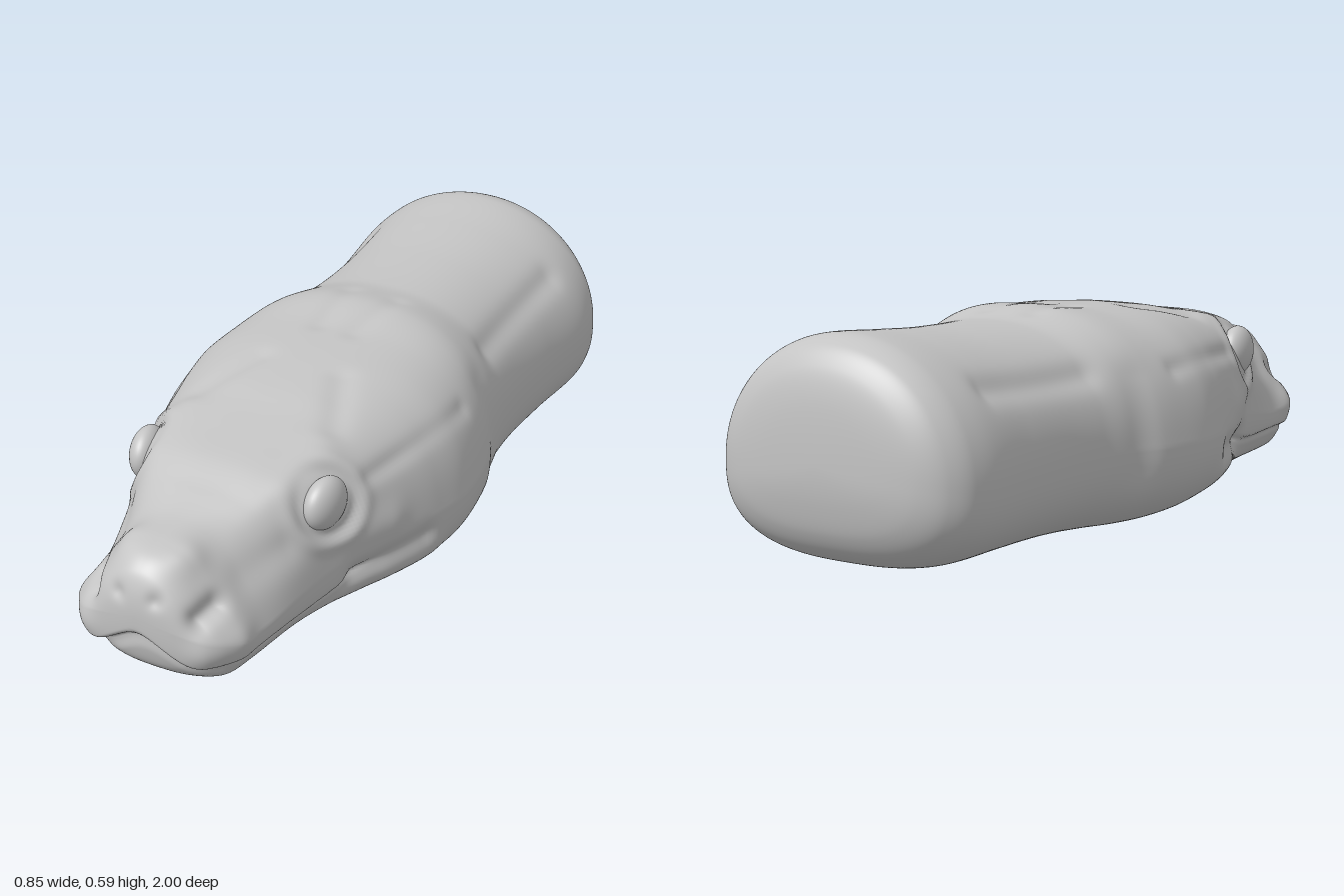
import * as THREE from 'three';
import { mergeVertices } from 'three/addons/utils/BufferGeometryUtils.js';

// Smooth monotone curve through [z, value] pairs, evaluated at t where z = cos(t)
function profile(pairs) {
  const t = pairs.map(p => Math.acos(p[0])), v = pairs.map(p => p[1]);
  const n = t.length, d = [], m = [];
  for (let i = 0; i < n - 1; i++) d.push((v[i + 1] - v[i]) / (t[i + 1] - t[i]));
  for (let i = 0; i < n; i++) {
    const a = d[Math.max(0, i - 1)], b = d[Math.min(n - 2, i)];
    m.push(a * b > 0 ? 2 * a * b / (a + b) : 0);
  }
  return x => {
    let i = 0;
    while (i < n - 2 && x > t[i + 1]) i++;
    const h = t[i + 1] - t[i], s = Math.min(1, Math.max(0, (x - t[i]) / h)), s2 = s * s, s3 = s2 * s;
    return (2 * s3 - 3 * s2 + 1) * v[i] + (s3 - 2 * s2 + s) * h * m[i]
      + (3 * s2 - 2 * s3) * v[i + 1] + (s3 - s2) * h * m[i + 1];
  };
}

const halfWidth = profile([[1, 0], [0.99, 0.105], [0.96, 0.165], [0.92, 0.2], [0.87, 0.226], [0.8, 0.235],
  [0.7, 0.25], [0.6, 0.27], [0.5, 0.298], [0.4, 0.338], [0.3, 0.375], [0.2, 0.405], [0.08, 0.425],
  [-0.1, 0.405], [-0.2, 0.375], [-0.3, 0.352], [-0.42, 0.346], [-0.6, 0.355], [-0.8, 0.375],
  [-0.87, 0.367], [-0.93, 0.335], [-0.97, 0.275], [-0.99, 0.19], [-1, 0]]);
const topLine = profile([[1, 0.28], [0.99, 0.35], [0.97, 0.39], [0.93, 0.418], [0.88, 0.43], [0.8, 0.44],
  [0.7, 0.47], [0.6, 0.505], [0.5, 0.52], [0.4, 0.535], [0.3, 0.553], [0.15, 0.568], [0, 0.576],
  [-0.14, 0.59], [-0.3, 0.566], [-0.5, 0.571], [-0.7, 0.585], [-0.86, 0.597], [-0.93, 0.577],
  [-0.97, 0.53], [-0.99, 0.46], [-1, 0.3]]);
const bottomLine = profile([[1, 0.28], [0.99, 0.17], [0.97, 0.11], [0.93, 0.078], [0.87, 0.06], [0.8, 0.056],
  [0.6, 0.047], [0.4, 0.028], [0.2, 0.011], [0, 0.003], [-0.2, 0.014], [-0.4, 0.024], [-0.8, 0.035],
  [-0.87, 0.045], [-0.93, 0.075], [-0.97, 0.13], [-0.99, 0.2], [-1, 0.3]]);
const widestY = profile([[1, 0.28], [0.95, 0.23], [0.8, 0.2], [0.5, 0.235], [0, 0.245], [-0.4, 0.25], [-0.8, 0.255], [-0.93, 0.27], [-1, 0.3]]);
const roundness = profile([[1, 2.1], [0.9, 2.4], [0.75, 2.7], [0.65, 3.2], [0.5, 3.6], [0.3, 3], [0, 2.9], [-0.14, 2.6], [-0.35, 2.25], [-0.6, 2.1], [-1, 2]]);
const topTaper = profile([[1, 0.2], [0.9, 0.42], [0.8, 0.36], [0.65, 0.13], [0.5, 0.05], [0.2, 0.1], [0, 0.11], [-0.3, 0.02], [-1, 0]]);
const LOWER_ROUNDNESS = 2.75;

// Mirrored swellings and creases: [start, end, radius, height]
const SCULPT = [
  [[0.21, 0.5, 0.62], [0.2, 0.52, 0.44], 0.05, 0.008],        // brow ridge
  [[0.16, 0.45, 0.76], [0.2, 0.49, 0.62], 0.04, 0.006],       // snout ridge
  [[0.21, 0.35, 0.8], [0.24, 0.36, 0.68], 0.05, -0.012],      // hollow before the eye
  [[0.09, 0.42, 0.9], [0.09, 0.42, 0.88], 0.045, 0.014],      // nostril rim
  [[0.17, 0.31, 0.9], [0.15, 0.29, 0.95], 0.03, -0.024],      // nostril pit
  [[0.05, 0.33, 0.99], [0.05, 0.33, 0.97], 0.02, -0.008],     // snout dimple
  [[0.16, 0.2, 0.95], [0.2, 0.21, 0.88], 0.045, 0.014],       // lip lobe
  [[0.31, 0.3, 0.47], [0.34, 0.29, 0.36], 0.05, 0.01],        // cheek
  [[0.3, 0.18, 0.46], [0.37, 0.19, 0.24], 0.035, -0.025],     // mouth corner hollow
  [[0.36, 0.12, 0.35], [0.38, 0.13, 0.2], 0.05, 0.008],       // jaw muscle
  [[0.31, 0.43, 0.4], [0.36, 0.43, 0], 0.025, -0.008],        // temple crease
  [[0.36, 0.43, -0.15], [0.39, 0.2, -0.17], 0.06, -0.008],    // back of jaw
  [[0.2, 0.54, 0.38], [0.12, 0.56, 0.2], 0.035, -0.008],      // crown furrow
  [[0.05, 0.58, 0], [0.07, 0.58, -0.2], 0.03, -0.006],        // nape furrow
  [[0.29, 0.45, -0.3], [0.29, 0.47, -0.72], 0.04, -0.012],    // neck crease
].map(([a, b, r, h]) => ({ line: new THREE.Line3(new THREE.Vector3(...a), new THREE.Vector3(...b)), r, h }));

const EYE = new THREE.Vector3(0.253, 0.41, 0.53);
const smooth = THREE.MathUtils.smoothstep;

// Height of the mouth line, arched at the front and rising at the corners
function mouthY(x, z) {
  const arch = 1 - smooth(Math.abs(x), 0, 0.16);
  return 0.145 + 0.075 * arch * smooth(z, 0.8, 0.92) + 0.05 * (1 - smooth(z, 0.3, 0.65));
}

function bodyGeometry(rings = 270, sides = 220) {
  const positions = [], index = [];
  for (let i = 0; i <= rings; i++) {
    const t = Math.PI * i / rings;
    const w = halfWidth(t), mid = widestY(t), n = roundness(t), taper = topTaper(t);
    const up = topLine(t) - mid, down = mid - bottomLine(t);
    for (let j = 0; j < sides; j++) {
      const a = 2 * Math.PI * j / sides, c = Math.cos(a), s = Math.sin(a);
      const e = s > 0 ? n : LOWER_ROUNDNESS;
      const r = Math.pow(Math.abs(c) ** e + Math.abs(s) ** e, -1 / e);
      const x = w * c * r * (1 - taper * Math.max(0, s * r));
      positions.push(x, mid + (s > 0 ? up : down) * s * r, Math.cos(t));
      if (i < rings) {
        const k = i * sides + j, l = i * sides + (j + 1) % sides;
        index.push(k, k + sides, l, l, k + sides, l + sides);
      }
    }
  }
  let g = new THREE.BufferGeometry();
  g.setAttribute('position', new THREE.Float32BufferAttribute(positions, 3));
  g.setIndex(index);
  g = mergeVertices(g, 1e-6);
  g.computeVertexNormals();

  // Push the skin along its normal to sculpt the features
  const pos = g.attributes.position, nor = g.attributes.normal;
  const p = new THREE.Vector3(), q = new THREE.Vector3(), near = new THREE.Vector3(), nrm = new THREE.Vector3();
  for (let i = 0; i < pos.count; i++) {
    p.fromBufferAttribute(pos, i);
    nrm.fromBufferAttribute(nor, i);
    q.set(Math.abs(p.x), p.y, p.z);
    let push = 0;
    for (const f of SCULPT) {
      f.line.closestPointToPoint(q, true, near);
      push += f.h * Math.exp(-near.distanceToSquared(q) / (f.r * f.r));
    }
    // Groove and rim around the eye
    const ring = Math.hypot(q.y - EYE.y, q.z - EYE.z), outer = smooth(q.x, 0.17, 0.24);
    push -= 0.008 * outer * Math.exp(-(((ring - 0.078) / 0.016) ** 2));
    push += 0.006 * outer * Math.exp(-(((ring - 0.108) / 0.02) ** 2));
    // Mouth groove, with the lower jaw set back under the lip
    const gap = mouthY(p.x, p.z) - p.y;
    const mask = smooth(p.z, 0.35, 0.5);
    push -= 0.011 * mask * Math.exp(-((gap / 0.009) ** 2));
    const under = smooth(gap, -0.005, 0.015);
    push -= 0.007 * under * mask * (1 - smooth(gap, 0.02, 0.06));
    p.addScaledVector(nrm, push);
    p.z -= 0.03 * under * smooth(p.z, 0.85, 0.98);
    pos.setXYZ(i, p.x, p.y, p.z);
  }
  g.computeVertexNormals();
  return g;
}

export function createModel() {
  const group = new THREE.Group();
  const skin = new THREE.MeshStandardMaterial({ color: 0xc4c4c4 });
  skin.name = 'grey clay';

  // Head and neck as one continuous skin
  const body = new THREE.Mesh(bodyGeometry(), skin);
  body.name = 'headAndNeck';
  group.add(body);

  // Eyes
  const ball = new THREE.SphereGeometry(0.072, 40, 28);
  for (const side of [1, -1]) {
    const eye = new THREE.Mesh(ball, skin);
    eye.name = side > 0 ? 'leftEye' : 'rightEye';
    eye.position.set(side * EYE.x, EYE.y, EYE.z);
    eye.scale.set(0.58, 0.95, 1);
    eye.rotation.y = side * -0.15;
    group.add(eye);
  }
  return group;
}
